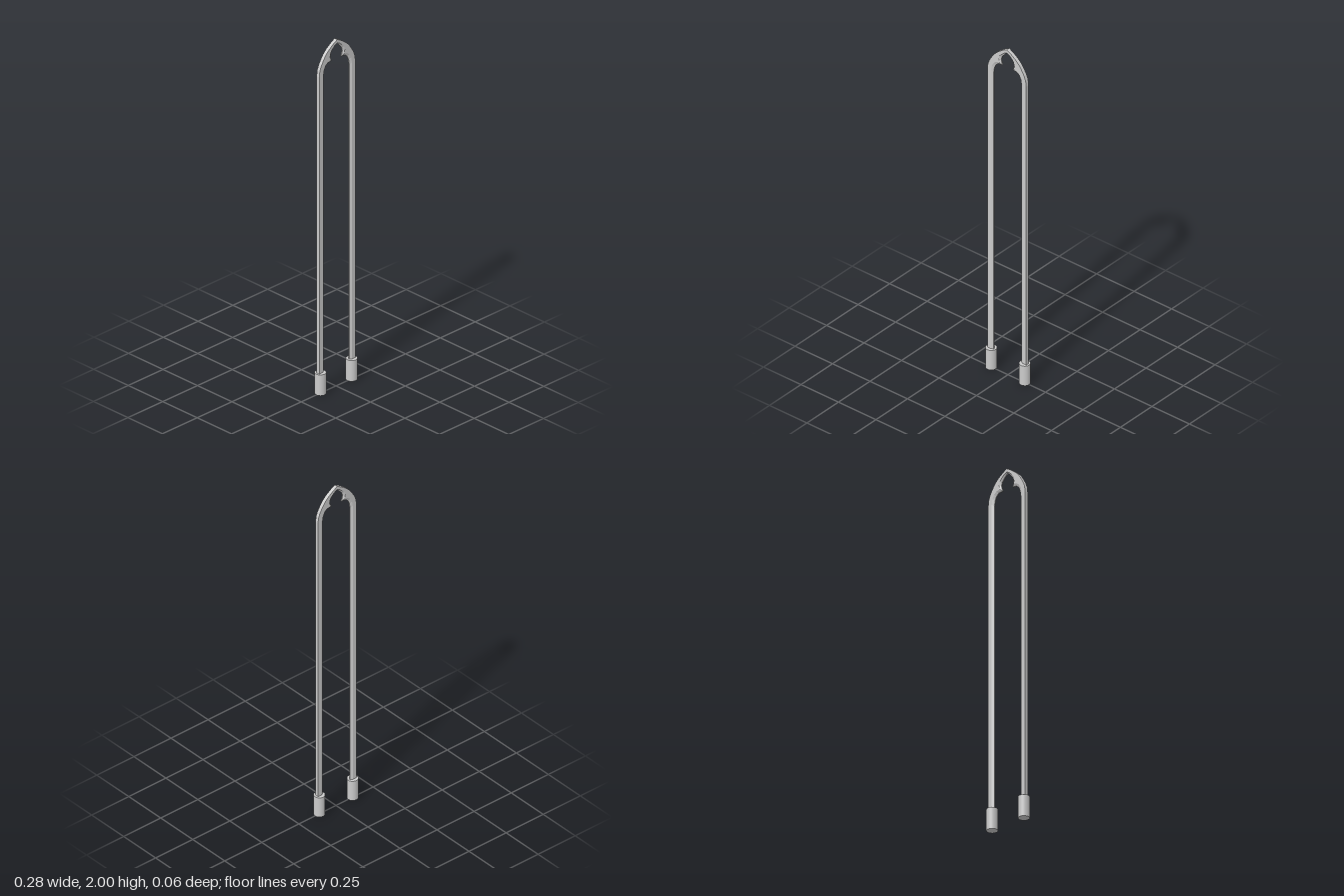
import * as THREE from 'three';

const material = new THREE.MeshStandardMaterial({ color: 0xcccccc, flatShading: true });
const smooth = new THREE.MeshStandardMaterial({ color: 0xcccccc });

// Half of the frame, foot to apex: outer edge, chamfer edge, inner edge (x, y each)
const HALF = [
  [0.13, 0.02, 0.105, 0.02, 0.093, 0.02],
  [0.13, 1.83, 0.105, 1.83, 0.093, 1.82],
  [0.126, 1.862, 0.1, 1.86, 0.088, 1.85],
  [0.116, 1.888, 0.088, 1.882, 0.078, 1.872],
  [0.106, 1.905, 0.072, 1.895, 0.062, 1.885],
  [0.095, 1.923, 0.05, 1.9, 0.034, 1.888], // cusp
  [0.085, 1.937, 0.051, 1.912, 0.039, 1.9],
  [0.075, 1.948, 0.054, 1.925, 0.043, 1.918],
  [0.06, 1.962, 0.048, 1.943, 0.038, 1.938],
  [0.045, 1.973, 0.034, 1.958, 0.026, 1.952],
  [0.025, 1.987, 0.018, 1.972, 0.013, 1.966],
  [0, 2.0, 0, 1.982, 0, 1.975],
];
const DEPTH = 0.01; // half thickness of the frame
const EDGE = 0.003; // half thickness of the chamfered inner edge

// Closed section running round the bar at one station
function section([ox, oy, cx, cy, ix, iy]) {
  return [
    [ox, oy, DEPTH], [ox, oy, -DEPTH], [cx, cy, -DEPTH],
    [ix, iy, -EDGE], [ix, iy, EDGE], [cx, cy, DEPTH],
  ];
}

// Pointed trefoil arch and its two shafts as one lofted bar
function frameGeometry() {
  const mirrored = HALF.slice(0, -1).reverse().map((s) => s.map((v, i) => (i % 2 ? v : -v)));
  const rings = [...HALF, ...mirrored].map(section);
  const n = rings[0].length;
  const index = [];
  for (let r = 0; r < rings.length - 1; r++) {
    for (let i = 0; i < n; i++) {
      const a = r * n + i, b = r * n + ((i + 1) % n);
      index.push(a, b, b + n, a, b + n, a + n);
    }
  }
  // End caps at both feet
  const last = (rings.length - 1) * n;
  for (let i = 1; i < n - 1; i++) {
    index.push(0, i + 1, i, last, last + i, last + i + 1);
  }
  const geometry = new THREE.BufferGeometry();
  geometry.setAttribute('position', new THREE.Float32BufferAttribute(rings.flat(2), 3));
  geometry.setIndex(index);
  const flat = geometry.toNonIndexed();
  flat.computeVertexNormals();
  return flat;
}

export function createModel() {
  const group = new THREE.Group();
  group.name = 'archFrame';

  const frame = new THREE.Mesh(frameGeometry(), material);
  frame.name = 'trefoilArch';
  group.add(frame);

  // Round bases under the shafts
  for (const side of [1, -1]) {
    const base = new THREE.Mesh(new THREE.CylinderGeometry(0.03, 0.03, 0.12, 32), smooth);
    base.name = side > 0 ? 'leftBase' : 'rightBase';
    base.position.set(side * 0.112, 0.06, 0);
    group.add(base);
  }
  return group;
}
